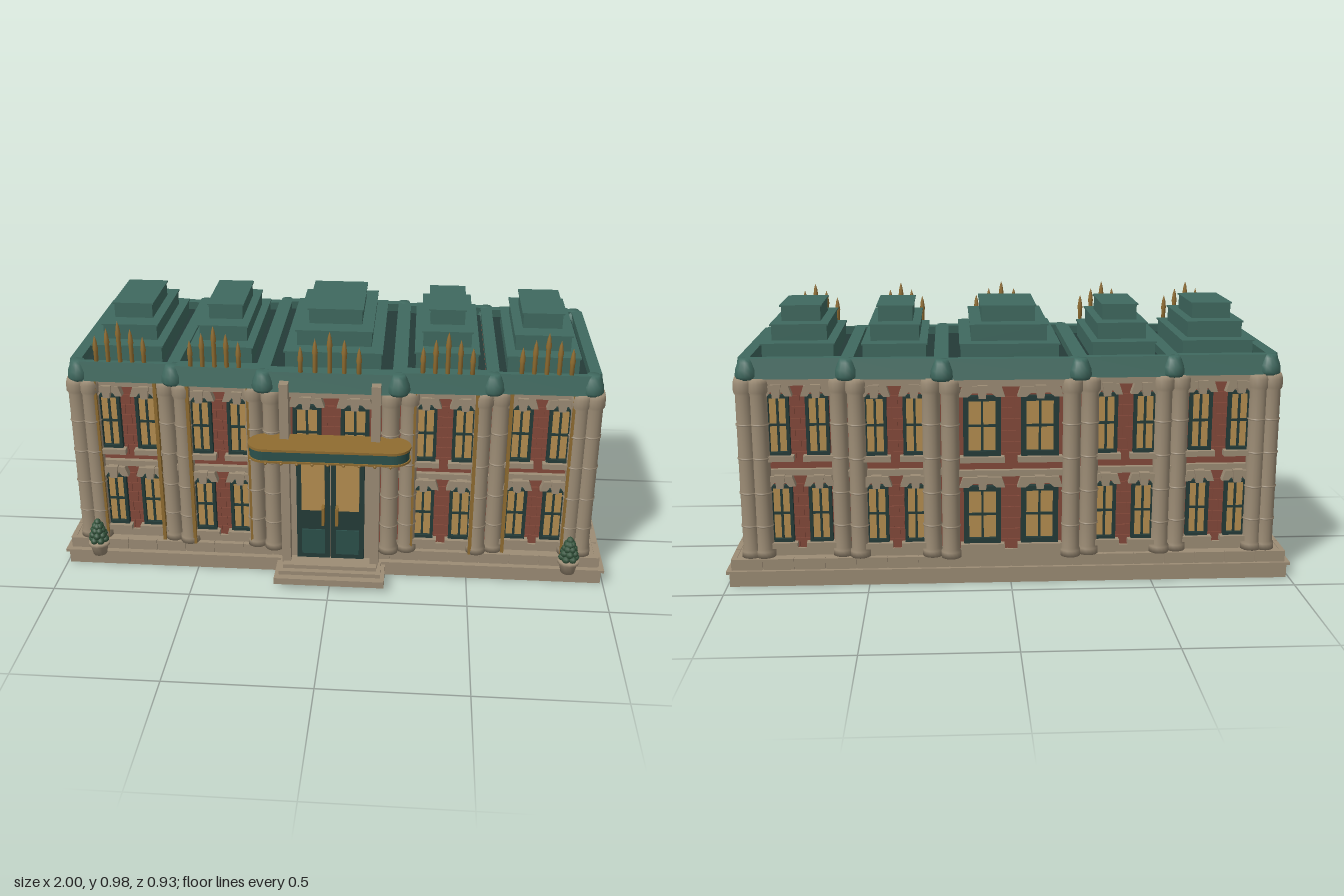
import * as THREE from 'three';

const mat = (color, side = THREE.FrontSide) => new THREE.MeshStandardMaterial({ color, side });
const stone = mat(0x9c8c75), brick = mat(0x84493a), teal = mat(0x3f695f), dark = mat(0x243b38),
  glass = mat(0xb58e50), gold = mat(0x8f6c30), leaf = mat(0x34543c), panel = mat(0x2b504b);

function add(parent, name, geo, m, x = 0, y = 0, z = 0) {
  const mesh = new THREE.Mesh(geo, m);
  mesh.name = name;
  mesh.position.set(x, y, z);
  parent.add(mesh);
  return mesh;
}
// box from its extents
function span(parent, name, m, x0, x1, y0, y1, z0, z1) {
  return add(parent, name, new THREE.BoxGeometry(x1 - x0, y1 - y0, z1 - z0), m,
    (x0 + x1) / 2, (y0 + y1) / 2, (z0 + z1) / 2);
}
const lathe = (pts, n) => new THREE.LatheGeometry(pts.map(p => new THREE.Vector2(...p)), n);
const poly = pts => new THREE.Shape(pts.map(p => new THREE.Vector2(...p)));
const rect = (x0, x1, y0, y1) => poly([[x0, y0], [x1, y0], [x1, y1], [x0, y1]]);
const extrude = (shape, depth) => new THREE.ExtrudeGeometry(shape, { depth, bevelEnabled: false, curveSegments: 12 });

// framed window with cross bars, sill, winged lintel and keystone; local z points outwards
function windowUnit(parent, x, w, y0, y1) {
  const g = new THREE.Group();
  g.name = 'window';
  g.position.x = x;
  parent.add(g);
  const h = w / 2, f = Math.min(0.018, w * 0.14), ym = (y0 + y1) / 2;
  const frame = rect(-h, h, y0, y1);
  frame.holes.push(rect(-h + f, h - f, y0 + f, y1 - f));
  add(g, 'windowFrame', extrude(frame, 0.02), dark);
  span(g, 'windowGlass', glass, -h + f, h - f, y0 + f, y1 - f, 0, 0.006);
  span(g, 'windowMullion', dark, -0.004, 0.004, y0 + f, y1 - f, 0.004, 0.013);
  span(g, 'windowTransom', dark, -h + f, h - f, ym - 0.004, ym + 0.004, 0.004, 0.012);
  span(g, 'windowSill', stone, -h - 0.012, h + 0.012, y0 - 0.02, y0, 0, 0.035);
  const e = h + 0.014;
  add(g, 'windowLintel', extrude(poly([[-e, y1 - 0.002], [-h * 0.75, y1 - 0.002], [-h * 0.5, y1 + 0.012],
    [h * 0.5, y1 + 0.012], [h * 0.75, y1 - 0.002], [e, y1 - 0.002], [e - 0.012, y1 + 0.035], [-e + 0.012, y1 + 0.035]]), 0.03), stone);
  add(g, 'keystone', extrude(poly([[-0.012, y1 - 0.006], [0.012, y1 - 0.006], [0.018, y1 + 0.04], [-0.018, y1 + 0.04]]), 0.04), stone);
}

// one wall bay: paired windows on each floor, brick pier, stone bands
function facade(parent, name, x, z, turn, width, offset, winW, floors = [0, 1]) {
  const g = new THREE.Group();
  g.name = name;
  g.position.set(x, 0, z);
  g.rotation.y = turn;
  parent.add(g);
  for (const f of floors) {
    const [y0, y1] = f ? [0.467, 0.68] : [0.15, 0.358];
    for (const s of [-1, 1]) windowUnit(g, s * offset, winW, y0, y1);
    const p = offset - winW / 2 - 0.002;
    for (let r = 0; r < 6; r++) {
      const y = y0 - 0.03 + r * 0.04, cut = r % 2 ? p * 0.4 : -p * 0.4;
      span(g, 'brick', brick, -p, cut - 0.001, y, y + 0.038, 0, 0.006);
      span(g, 'brick', brick, cut + 0.001, p, y, y + 0.038, 0, 0.006);
    }
  }
  if (floors.includes(0)) span(g, 'floorBand', stone, -width / 2, width / 2, 0.393, 0.415, 0, 0.018);
  span(g, 'corniceBand', stone, -width / 2, width / 2, 0.715, 0.742, 0, 0.028);
}

// jointed round column
const joints = [0.215, 0.335, 0.46, 0.58].flatMap(y => [[0.031, y - 0.004], [0.034, y - 0.002], [0.034, y + 0.002], [0.031, y + 0.004]]);
const columnGeo = lathe([[0, 0.1], [0.036, 0.1], [0.036, 0.122], [0.031, 0.13], ...joints,
  [0.031, 0.685], [0.037, 0.695], [0.037, 0.725], [0.032, 0.742], [0, 0.742]], 16);
const drumGeo = lathe([[0, 0], [0.034, 0], [0.041, 0.012], [0.038, 0.035], [0.028, 0.06], [0.022, 0.072], [0, 0.072]], 12);

export function createModel() {
  const model = new THREE.Group();
  model.name = 'townHall';

  // stepped plinth with a course of blocks
  span(model, 'base', stone, -0.99, 0.99, 0, 0.05, -0.425, 0.315);
  span(model, 'baseLip', stone, -1, 1, 0.05, 0.06, -0.436, 0.325);
  span(model, 'plinthCore', stone, -0.973, 0.973, 0.06, 0.098, -0.418, 0.298);
  for (let i = 0; i < 18; i++) {
    const x = -0.98 + i * 0.109;
    for (const z of [-0.424, 0.286]) span(model, 'plinthBlock', stone, x, x + 0.105, 0.06, 0.1, z, z + 0.018);
  }
  for (let i = 0; i < 7; i++) {
    const z = -0.422 + i * 0.1035;
    for (const x of [-0.983, 0.965]) span(model, 'plinthBlock', stone, x, x + 0.018, 0.06, 0.1, z, z + 0.099);
  }

  // bays: centre, half width, forward shift
  const bays = [[-0.735, 0.185, 0], [-0.4, 0.165, 0.02], [0, 0.235, 0.045], [0.4, 0.165, 0.02], [0.735, 0.185, 0]];
  for (const [x, h, d] of bays) {
    const zf = 0.25 + d, zb = -0.365 - d, mid = x === 0;
    span(model, 'bayWall', brick, x - h, x + h, 0.08, 0.745, zb, zf);
    span(model, 'bayFooting', stone, x - h, x + h, 0.08, 0.125, zb - 0.015, zf + 0.015);
    facade(model, 'frontBay', x, zf, 0, 2 * h, mid ? 0.085 : 0.068, mid ? 0.1 : 0.08, mid ? [1] : [0, 1]);
    facade(model, 'backBay', x, zb, Math.PI, 2 * h, mid ? 0.1 : 0.068, mid ? 0.13 : 0.08);

    // gilded strips beside the front windows
    if (!mid) for (const s of [-1, 1])
      span(model, 'gildedStrip', gold, x + s * 0.108 - 0.006, x + s * 0.108 + 0.006, 0.1, 0.742, zf + 0.015, zf + 0.042);

    // row of pointed finials
    for (let i = -2; i <= 2; i++) {
      const top = 0.975 - Math.abs(i) * 0.027, fx = x + i * (mid ? 0.05 : 0.042);
      add(model, 'finial', lathe([[0, 0.825], [0.008, 0.825], [0.008, top - 0.06], [0.01, top - 0.05], [0.006, top - 0.02], [0, top]], 8), gold, fx, 0, 0.31 + d);
    }
  }

  // side walls
  span(model, 'endWalls', brick, -0.92, 0.92, 0.1, 0.745, -0.34, 0.23);
  for (const s of [-1, 1]) {
    facade(model, 'sideBay', s * 0.92, -0.055, s * Math.PI / 2, 0.52, 0.14, 0.175);
    span(model, 'sideFooting', stone, s * 0.92 - 0.015, s * 0.92 + 0.015, 0.1, 0.112, -0.34, 0.23);
  }

  // column clusters, mirrored left to right and front to back
  for (const s of [-1, 1]) for (const back of [false, true]) {
    const place = z => back ? -0.115 - z : z;
    for (const [x, z] of [[0.915, 0.24], [0.913, 0.265], [0.865, 0.268], [0.592, 0.262], [0.53, 0.282],
      [0.275, 0.285], [0.21, 0.305]]) add(model, 'column', columnGeo, stone, s * x, 0, place(z));
    for (const [x, z] of [[0.9, 0.25], [0.56, 0.268], [0.235, 0.3]])
      add(model, 'roofDrum', drumGeo, teal, s * x, 0.738, place(z + 0.015));
  }

  // flared roof slab with a sunken well over each bay
  const half = [[0.235, 0.325], [0.25, 0.305], [0.56, 0.3], [0.57, 0.285], [0.9, 0.285], [0.93, 0.255]];
  const right = [...half, ...half.map(([x, z]) => [x, -0.11 - z]).reverse()];
  const roof = poly([...right, ...right.map(([x, z]) => [-x, z]).reverse()].map(([x, z]) => [x, -z]));
  const wells = [[-0.735, 0.155, -0.36, 0.265], [-0.4, 0.137, -0.38, 0.253], [0, 0.213, -0.4, 0.275],
    [0.4, 0.137, -0.38, 0.253], [0.735, 0.155, -0.36, 0.265]];
  for (const [x, h, z0, z1] of wells) roof.holes.push(rect(x - h, x + h, -z1, -z0));
  const slab = extrude(roof, 0.07).rotateX(-Math.PI / 2).translate(0, 0.74, 0);
  const p = slab.attributes.position;
  for (let i = 0; i < p.count; i++) if (p.getY(i) < 0.75) {
    p.setX(i, p.getX(i) * 1.012);
    p.setZ(i, (p.getZ(i) + 0.055) * 1.035 - 0.055);
  }
  slab.computeVertexNormals();
  add(model, 'roofSlab', slab, teal);

  // stepped lanterns standing in the wells
  for (const [x, h, z0, z1] of wells) {
    span(model, 'roofWell', dark, x - h, x + h, 0.742, 0.78, z0, z1);
    [[0.043, 0.06, 0.775, 0.845], [0.08, 0.118, 0.845, 0.903], [0.118, 0.186, 0.903, 0.96]].forEach(([ix, iz, y0, y1]) => {
      const w = h - ix * h / 0.213, a = z0 + iz, b = z1 - iz;
      span(model, 'lanternTier', teal, x - w, x + w, y0, y1 - 0.004, a, b);
      span(model, 'lanternLip', teal, x - w - 0.005, x + w + 0.005, y1 - 0.005, y1, a - 0.005, b + 0.005);
    });
  }

  // entrance: pilasters, surround and double door
  span(model, 'doorSurround', stone, -0.15, 0.15, 0.07, 0.535, 0.29, 0.325);
  for (const s of [-1, 1]) {
    span(model, 'entrancePilaster', stone, s * 0.16 - 0.016, s * 0.16 + 0.016, 0.07, 0.78, 0.295, 0.366);
    const x = s * 0.062;
    span(model, 'doorLeaf', dark, x - 0.06, x + 0.06, 0.08, 0.51, 0.32, 0.342);
    span(model, 'doorGlass', glass, x - 0.042, x + 0.042, 0.28, 0.48, 0.34, 0.346);
    span(model, 'doorPanel', panel, x - 0.042, x + 0.042, 0.1, 0.2, 0.34, 0.347);
    span(model, 'doorHandle', gold, s * 0.025 - 0.005, s * 0.025 + 0.005, 0.235, 0.305, 0.342, 0.377);
  }

  // canopy with rounded ends, gilded edges and beads
  const stadium = r => {
    const s = new THREE.Shape();
    s.absarc(0.22, 0, r, -Math.PI / 2, Math.PI / 2);
    s.absarc(-0.22, 0, r, Math.PI / 2, Math.PI * 1.5);
    return s;
  };
  for (const [name, r, y, h, m] of [['canopyRim', 0.065, 0.521, 0.007, gold], ['canopyBody', 0.06, 0.526, 0.04, panel],
    ['canopyTop', 0.065, 0.564, 0.009, gold]])
    add(model, name, extrude(stadium(r), h).rotateX(-Math.PI / 2), m, 0, y, 0.387);
  for (let i = -4; i <= 4; i++) add(model, 'canopyBead', new THREE.SphereGeometry(0.006, 8, 6), gold, i * 0.054, 0.519, 0.449);

  // entrance steps
  span(model, 'lowerStep', stone, -0.2, 0.2, 0.02, 0.045, 0.3, 0.44);
  span(model, 'middleStep', stone, -0.185, 0.185, 0.045, 0.06, 0.3, 0.413);
  span(model, 'upperStep', stone, -0.17, 0.17, 0.06, 0.075, 0.3, 0.392);

  // potted topiaries
  for (const s of [-1, 1]) {
    const g = new THREE.Group();
    g.name = 'planter';
    g.position.set(s * 0.865, 0, 0.338);
    model.add(g);
    add(g, 'pot', lathe([[0, 0.06], [0.025, 0.06], [0.034, 0.1], [0.039, 0.1], [0.039, 0.112], [0, 0.112]], 12), stone);
    [[0.024, 0.122], [0.021, 0.142], [0.015, 0.16], [0.009, 0.176]].forEach(([r, y], k) => {
      for (let i = 0; i < 6; i++) {
        const a = (i + k / 2) * Math.PI / 3;
        add(g, 'foliage', new THREE.SphereGeometry(0.014, 8, 6), leaf, r * Math.cos(a), y, r * Math.sin(a));
      }
    });
    add(g, 'foliageTip', new THREE.SphereGeometry(0.013, 8, 6), leaf, 0, 0.192, 0);
  }
  return model;
}
